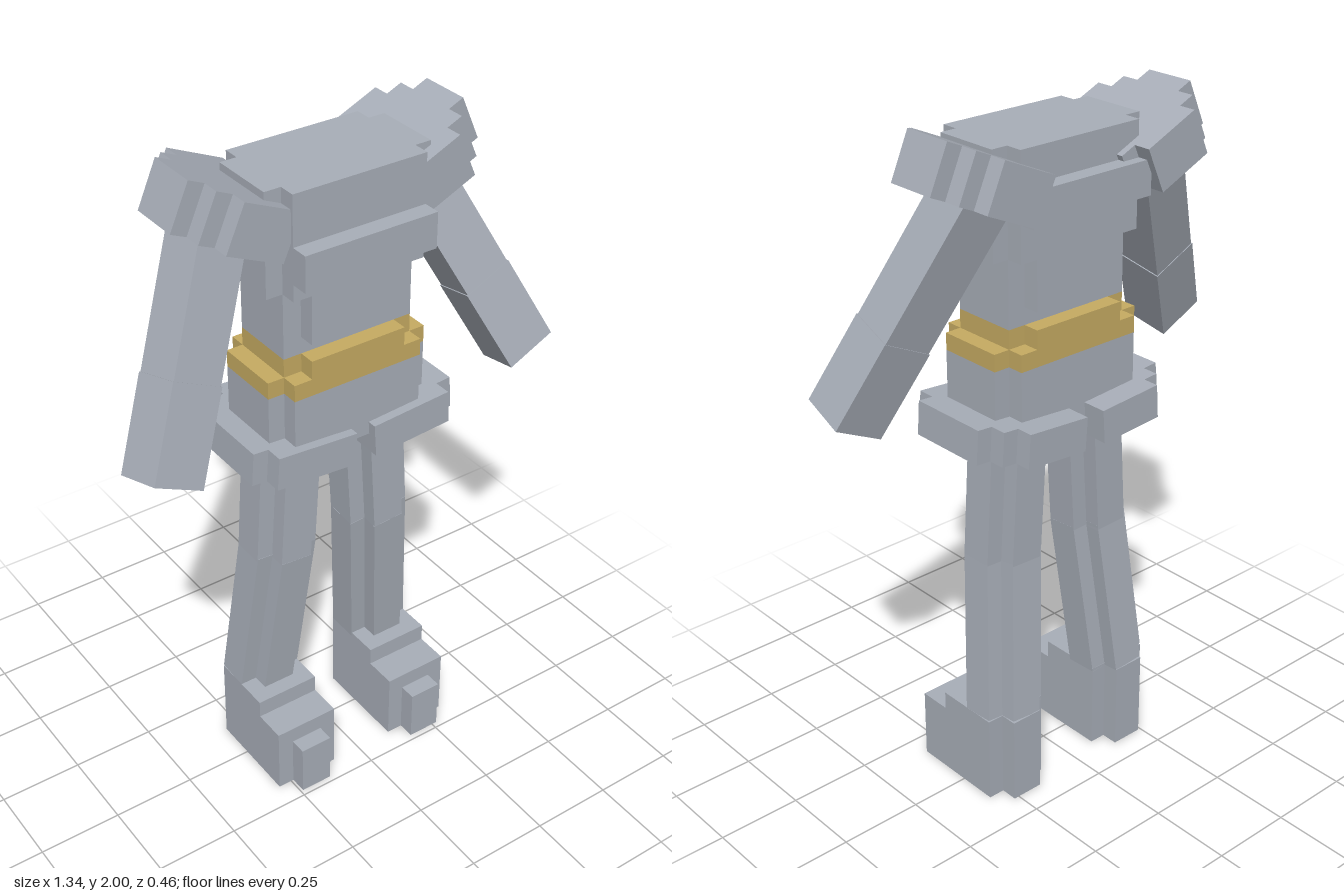
import * as THREE from 'three';

const steel = new THREE.MeshStandardMaterial({ color: 0xa8aeb8 });
steel.name = 'steel grey';
const gold = new THREE.MeshStandardMaterial({ color: 0xc6ab62 });
gold.name = 'belt gold';

// Upright prism from an outline of [x, z] points between two heights
function prism(name, points, y0, y1, material = steel) {
  const shape = new THREE.Shape(points.map(([x, z]) => new THREE.Vector2(x, -z)));
  const geo = new THREE.ExtrudeGeometry(shape, { depth: y1 - y0, bevelEnabled: false });
  geo.rotateX(-Math.PI / 2).translate(0, y0, 0);
  const mesh = new THREE.Mesh(geo, material);
  mesh.name = name;
  return mesh;
}

// Rectangle with notched corners: half widths W > w, half depths D > d
function notched(W, D, w, d) {
  return [
    [-w, -D], [w, -D], [w, -d], [W, -d], [W, d], [w, d],
    [w, D], [-w, D], [-w, d], [-W, d], [-W, -d], [-w, -d],
  ];
}

// Box given by its minimum and maximum corners
function box(name, [x0, y0, z0], [x1, y1, z1]) {
  const mesh = new THREE.Mesh(new THREE.BoxGeometry(x1 - x0, y1 - y0, z1 - z0), steel);
  mesh.position.set((x0 + x1) / 2, (y0 + y1) / 2, (z0 + z1) / 2);
  mesh.name = name;
  return mesh;
}

function makeTorso() {
  const g = new THREE.Group();
  g.name = 'torso';
  g.position.x = 0.005;
  const wide = notched(0.255, 0.15, 0.205, 0.1);
  const slim = notched(0.205, 0.15, 0.15, 0.1);
  g.add(
    prism('hips', wide, 1.15, 1.345),
    prism('belt', wide, 1.345, 1.395, gold),
    prism('beltRim', slim, 1.395, 1.45, gold),
    box('waistGroove', [-0.205, 1.45, -0.1], [0.205, 1.5, 0.1]),
    prism('waist', slim, 1.5, 1.645),
    prism('chest', wide, 1.645, 1.945),
    box('chestPlate', [-0.205, 1.695, 0.15], [0.205, 1.8, 0.203]),
    box('backPlate', [-0.205, 1.75, -0.2], [0.205, 1.85, -0.15]),
  );
  return g;
}

// Square arm in two segments, running from the hand up into the shoulder
function makeArm(s) {
  const g = new THREE.Group();
  g.name = s > 0 ? 'leftArm' : 'rightArm';
  const up = new THREE.Vector3(-s * 0.42, 0.868, -0.28).normalize();
  const across = new THREE.Vector3(0.9, s * 0.435, 0).normalize();
  const out = new THREE.Vector3().crossVectors(across, up);
  g.quaternion.setFromRotationMatrix(new THREE.Matrix4().makeBasis(across, up, out));
  g.position.set(s * 0.578 - 0.003, 1.255, 0.117);
  g.add(
    box('forearm', [-0.078, -0.025, -0.074], [0.078, 0.245, 0.074]),
    box('upperArm', [-0.075, 0.235, -0.072], [0.075, 0.66, 0.072]),
  );
  return g;
}

// Stepped shoulder pad, sloping down outwards
function makeShoulderPad(s) {
  const g = new THREE.Group();
  g.name = s > 0 ? 'leftShoulderPad' : 'rightShoulderPad';
  g.position.set(s * 0.417 - 0.005, 2, -0.04);
  g.rotation.z = s * THREE.MathUtils.degToRad(24);
  const outline = [
    [0, -0.077], [0.05, -0.077], [0.05, -0.13], [0.1, -0.13], [0.1, -0.182],
    [0.28, -0.182], [0.28, -0.13], [0.33, -0.13], [0.33, 0.13],
    [0.28, 0.13], [0.28, 0.182], [0.1, 0.182], [0.1, 0.13],
    [0.05, 0.13], [0.05, 0.077], [0, 0.077],
  ].map(([x, z]) => [-s * x, z]);
  g.add(prism('shoulderPadPlate', outline, -0.14, 0));
  return g;
}

// Leg segment with notched edges between two joints
function legSegment(name, bottom, top) {
  const a = new THREE.Vector3(...bottom);
  const dir = new THREE.Vector3(...top).sub(a);
  const mesh = prism(name, notched(0.1, 0.1, 0.05, 0.05), 0, dir.length());
  mesh.position.copy(a);
  mesh.quaternion.setFromUnitVectors(new THREE.Vector3(0, 1, 0), dir.normalize());
  return mesh;
}

function makeLeg(s) {
  const g = new THREE.Group();
  g.name = s > 0 ? 'leftLeg' : 'rightLeg';
  g.position.x = 0.012;

  // Tilted skirt plate
  const skirt = prism('skirtPlate', [
    [0.032, -0.225], [0.237, -0.225], [0.237, -0.175], [0.285, -0.175],
    [0.285, -0.125], [0.332, -0.125], [0.332, 0.125], [0.285, 0.125],
    [0.285, 0.178], [0.032, 0.178],
  ].map(([x, z]) => [s * (x - 0.182), z]), -0.05, 0.05);
  skirt.position.set(s * 0.182, 1.15, 0);
  skirt.rotation.z = s * 0.07;

  // Foot with heel, stepped instep and toe
  const foot = new THREE.Group();
  foot.name = 'foot';
  foot.position.x = s * 0.204;
  foot.add(
    box('heel', [-0.05, 0, -0.172], [0.05, 0.268, -0.12]),
    box('ankle', [-0.1, 0, -0.12], [0.1, 0.268, 0.08]),
    box('instep', [-0.1, 0, 0.08], [0.1, 0.213, 0.18]),
    box('toe', [-0.05, 0, 0.18], [0.05, 0.162, 0.232]),
  );

  g.add(
    skirt,
    legSegment('thigh', [s * 0.163, 0.745, -0.025], [s * 0.14, 1.12, -0.025]),
    legSegment('shin', [s * 0.204, 0.26, -0.07], [s * 0.162, 0.755, -0.024]),
    foot,
  );
  return g;
}

export function createModel() {
  const model = new THREE.Group();
  model.name = 'armour';
  model.add(makeTorso());
  for (const s of [-1, 1]) model.add(makeArm(s), makeShoulderPad(s), makeLeg(s));
  return model;
}
